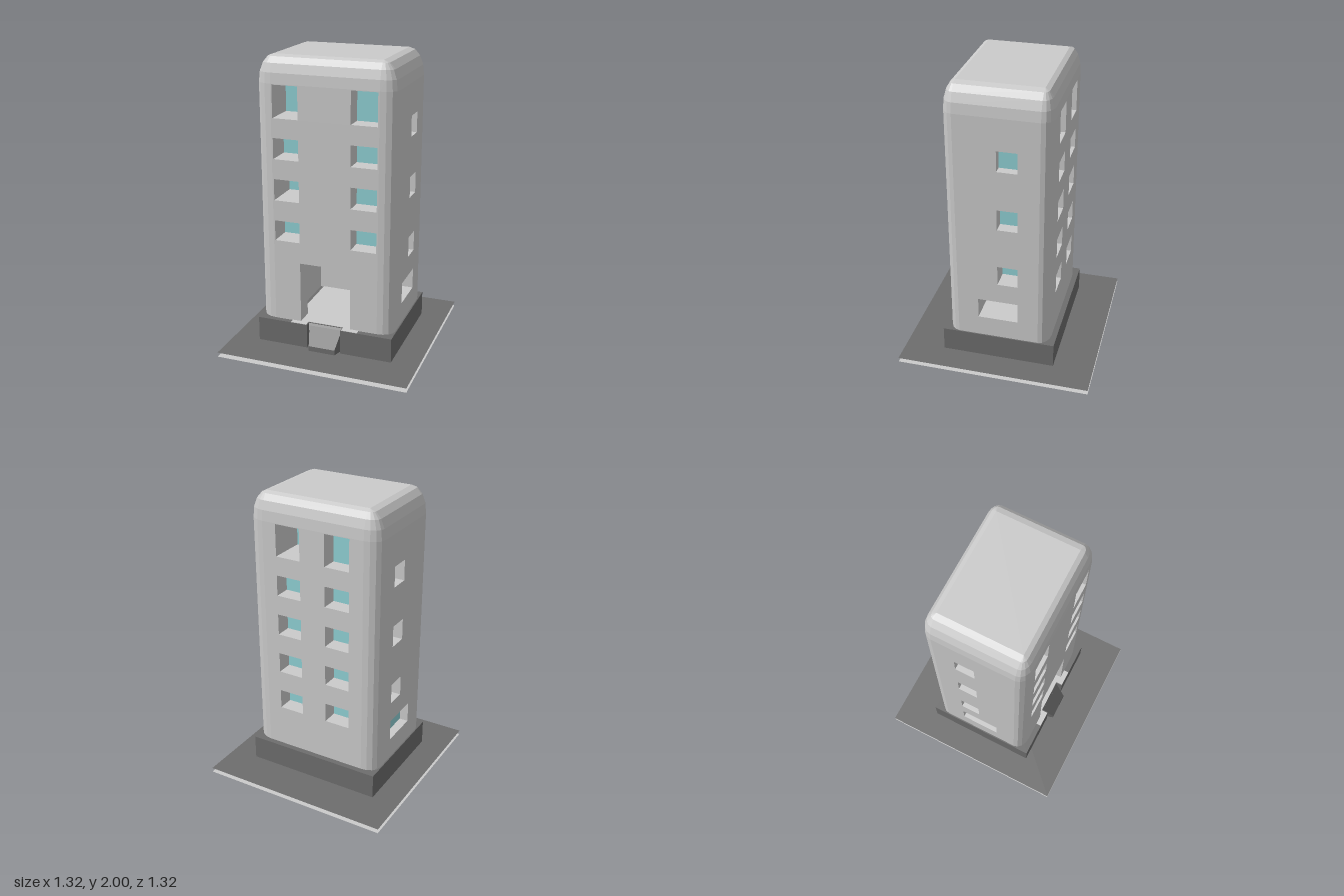
import * as THREE from 'three';

const HX = 0.467, HZ = 0.35;            // half width and half depth of the tower
const BX = 0.105, BY = 0.18, BZ = 0.075; // edge rounding along each axis
const Y0 = 0.2, Y1 = 1.82, N = 4;

export function createModel() {
  const model = new THREE.Group();
  const mat = (name, color, flatShading = false) => {
    const m = new THREE.MeshStandardMaterial({ color, side: THREE.DoubleSide, flatShading });
    m.name = name;
    return m;
  };
  const concrete = mat('light concrete', 0xcacaca, true);
  const dark = mat('dark stone', 0x6d6d6d, true);
  const glass = mat('blue glass', 0x8fd0d4);

  const add = (name, geo, material, parent = model) => {
    const mesh = new THREE.Mesh(geo, material);
    mesh.name = name;
    parent.add(mesh);
    return mesh;
  };

  // rounded shell: horizontal rings, leaving the four flat wall fields open
  const levels = [];
  for (let k = N; k >= 0; k--) {
    const p = (k / N) * Math.PI / 2;
    levels.push([Y0 - BY * Math.sin(p), Math.cos(p)]);
  }
  for (let k = 0; k <= N; k++) {
    const p = (k / N) * Math.PI / 2;
    levels.push([Y1 + BY * Math.sin(p), Math.cos(p)]);
  }
  const pos = [], idx = [], R = 4 * (N + 1);
  for (const [y, s] of levels) {
    for (let q = 0; q < 4; q++) {
      const sx = q === 0 || q === 3 ? 1 : -1, sz = q < 2 ? 1 : -1;
      for (let i = 0; i <= N; i++) {
        const t = (q + i / N) * Math.PI / 2;
        pos.push(sx * (HX - BX) + BX * s * Math.cos(t), y, sz * (HZ - BZ) + BZ * s * Math.sin(t));
      }
    }
  }
  for (let k = 0; k < levels.length - 1; k++) {
    for (let i = 0; i < R; i++) {
      if (k === N && i % (N + 1) === N) continue;
      const a = k * R + i, b = k * R + (i + 1) % R;
      idx.push(a, a + R, b, b, a + R, b + R);
    }
  }
  const shell = new THREE.BufferGeometry();
  shell.setAttribute('position', new THREE.Float32BufferAttribute(pos, 3));
  shell.setIndex(idx);
  shell.computeVertexNormals();
  add('towerShell', shell, concrete);
  add('roof', new THREE.PlaneGeometry(2 * (HX - BX), 2 * (HZ - BZ)).rotateX(-Math.PI / 2).translate(0, 2, 0), concrete);

  // box seen from inside: drops the listed faces and glazes the rear one if asked
  const inside = (name, u0, u1, y0, y1, z0, z1, drop, glazed, parent) => {
    const g = new THREE.BoxGeometry(u1 - u0, y1 - y0, z1 - z0);
    g.translate((u0 + u1) / 2, (y0 + y1) / 2, (z0 + z1) / 2);
    g.groups = g.groups.filter(gr => !drop.includes(gr.materialIndex));
    const rear = glazed ? glass : concrete;
    add(name, g, [concrete, concrete, concrete, concrete, concrete, rear], parent);
  };

  // flat wall with openings; each opening is [u0, u1, y0, y1, depth]
  const wall = (name, half, dist, angle, windows, door) => {
    const group = new THREE.Group();
    group.name = name;
    group.rotation.y = angle;
    const rect = (P, a, b, c, d) => {
      const s = new P();
      s.moveTo(a, c); s.lineTo(b, c); s.lineTo(b, d); s.lineTo(a, d); s.closePath();
      return s;
    };
    let s = rect(THREE.Shape, -half, half, Y0, Y1);
    if (door) {
      s = new THREE.Shape();
      [[-half, Y0], [-door, Y0], [-door, 0.625], [door, 0.625], [door, Y0], [half, Y0], [half, Y1], [-half, Y1]]
        .forEach(([x, y], i) => (i ? s.lineTo(x, y) : s.moveTo(x, y)));
      s.closePath();
      inside('doorReveal', -door, door, Y0, 0.625, dist - 0.12, dist, [3, 4, 5], false, group);
    }
    for (const [a, b, c, d, depth] of windows) {
      s.holes.push(rect(THREE.Path, a, b, c, d));
      inside('windowRecess', a, b, c, d, dist - depth, dist, [4], true, group);
    }
    add('wallFace', new THREE.ShapeGeometry(s).translate(0, 0, dist), concrete, group);
    model.add(group);
  };

  const rows = [[1.6, 1.815], [1.33, 1.47], [1.05, 1.195], [0.77, 0.91], [0.49, 0.625]];
  const leftDepth = [0.22, 0.17, 0.25, 0.16];
  const front = [], back = [];
  rows.forEach(([a, b], i) => {
    if (i < 4) front.push([-0.352, -0.177, a, b, leftDepth[i]], [0.177, 0.352, a, b, 0.12]);
    back.push([-0.265, -0.09, a, b, i ? 0.11 : 0.25], [0.09, 0.265, a, b, 0.11]);
  });
  wall('frontWall', HX - BX, HZ, 0, front, 0.177);
  wall('backWall', HX - BX, HZ, Math.PI, back, 0);

  // side walls: three small windows above one wide window
  const sideRows = [[1.465, 1.605], [1.05, 1.195], [0.63, 0.77]];
  const side = (m, depths) => [
    ...sideRows.map(([a, b], i) => [m > 0 ? 0 : -0.135, m > 0 ? 0.135 : 0, a, b, depths[i]]),
    [-0.135, 0.135, 0.345, 0.49, depths[3]],
  ];
  wall('leftWall', HZ - BZ, HX, Math.PI / 2, side(1, [0.06, 0.08, 0.13, 0.2]), 0);
  wall('rightWall', HZ - BZ, HX, -Math.PI / 2, side(-1, [0.13, 0.13, 0.1, 0.06]), 0);

  // entrance hall behind the door, with panes on its rear wall
  inside('hall', -0.26, 0.26, Y0, 0.628, -0.23, 0.23, [3, 4], false, model);
  for (const s of [-1, 1]) {
    add('hallPane', new THREE.BoxGeometry(0.165, 0.135, 0.004).translate(s * 0.1725, 0.557, -0.226), glass);
  }

  // plan outlines are drawn in x and z, then raised between two heights
  const slab = (name, pts, y0, y1, material) => {
    const s = new THREE.Shape(pts.map(([x, z]) => new THREE.Vector2(x, -z)));
    const g = new THREE.ExtrudeGeometry(s, { depth: y1 - y0, bevelEnabled: false });
    add(name, g.rotateX(-Math.PI / 2).translate(0, y0, 0), material);
  };
  slab('plinth', [[-0.475, 0.387], [-0.12, 0.387], [-0.12, 0.34], [0.12, 0.34], [0.12, 0.387],
    [0.475, 0.387], [0.475, -0.387], [-0.475, -0.387]], 0.03, 0.2, dark);
  slab('hallFloor', [[-0.237, 0.386], [-0.125, 0.386], [-0.125, 0.34], [0.125, 0.34], [0.125, 0.386],
    [0.237, 0.386], [0.237, -0.23], [-0.237, -0.23]], 0.198, 0.203, concrete);

  // entrance ramp, narrowing towards its foot
  const ramp = new THREE.BoxGeometry(0.24, 0.2, 0.09).translate(0, 0.1, 0.38);
  const p = ramp.attributes.position;
  for (let i = 0; i < p.count; i++) {
    if (p.getZ(i) > 0.4) {
      p.setX(i, p.getX(i) * 0.77);
      if (p.getY(i) > 0.1) p.setY(i, 0.065);
    }
  }
  ramp.computeVertexNormals();
  add('entranceRamp', ramp, dark);

  // ground sheets
  const sheet = y => new THREE.PlaneGeometry(1.32, 1.32).rotateX(-Math.PI / 2).translate(0, y, 0);
  add('paving', sheet(0.03), dark);
  add('groundSheet', sheet(0), concrete);
  return model;
}
